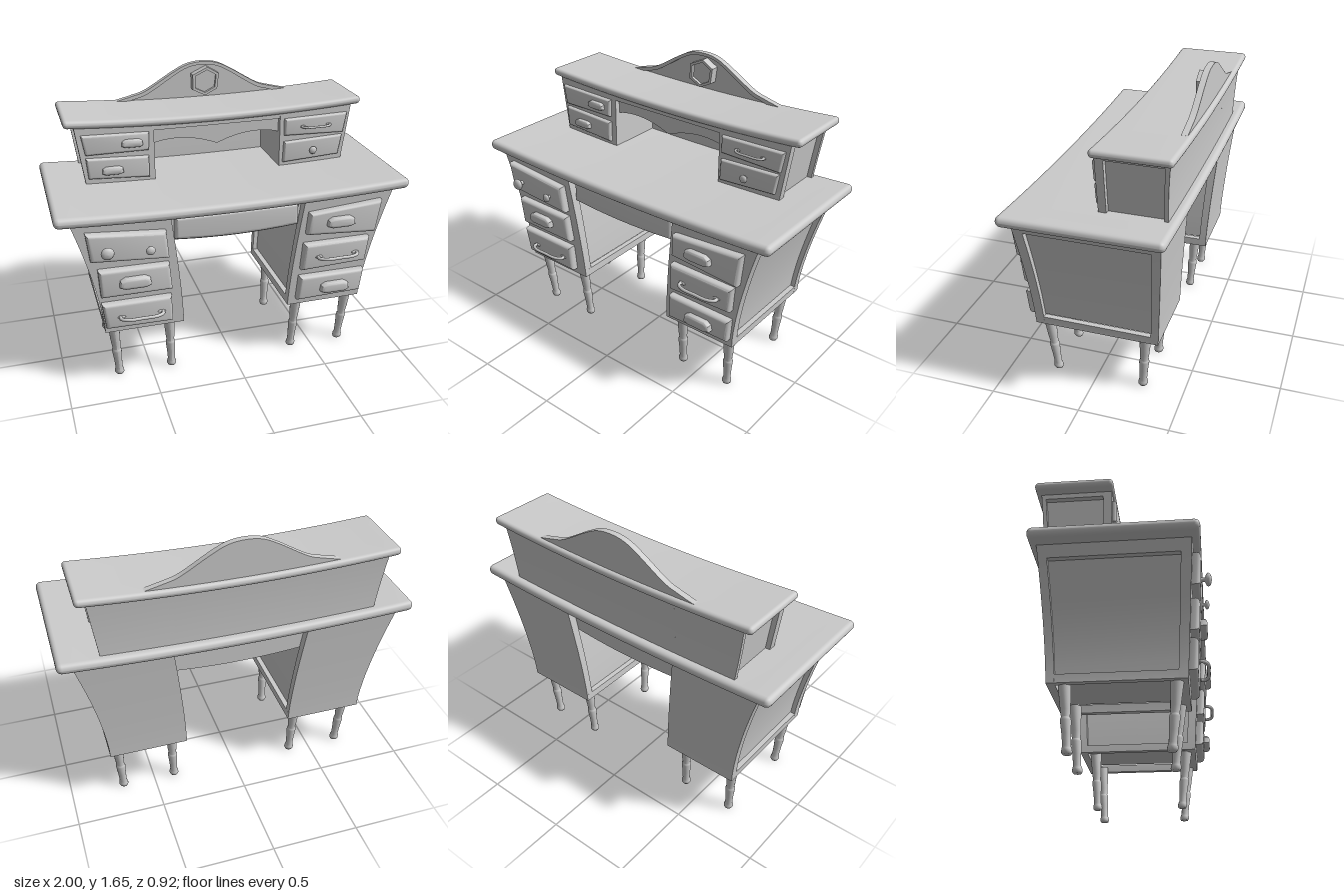
import * as THREE from 'three';
import { mergeVertices, toCreasedNormals } from 'three/addons/utils/BufferGeometryUtils.js';

const mat = new THREE.MeshStandardMaterial({ color: 0xcccccc });
const lerp = THREE.MathUtils.lerp;
const V = (x, y, z) => new THREE.Vector3(x, y, z);

export function createModel() {
  const desk = new THREE.Group();
  desk.name = 'desk';

  function add(name, geo, x = 0, y = 0, z = 0, parent = desk) {
    const m = new THREE.Mesh(geo, mat);
    m.name = name;
    m.position.set(x, y, z);
    parent.add(m);
    return m;
  }

  // move every vertex by a rule
  function bend(geo, rule) {
    const p = geo.attributes.position, v = V(0, 0, 0);
    for (let i = 0; i < p.count; i++) {
      v.fromBufferAttribute(p, i);
      rule(v);
      p.setXYZ(i, v.x, v.y, v.z);
    }
    geo.computeVertexNormals();
    return geo;
  }

  // round-edged slab whose middle sags along x
  function sagTop(w, h, d, sag) {
    const size = [w, h, d], seg = [30, 8, 10], r = h / 2 - 0.001;
    let geo = new THREE.BoxGeometry(w, h, d, ...seg);
    geo.deleteAttribute('normal');
    geo.deleteAttribute('uv');
    geo = mergeVertices(geo, 1e-5);
    return bend(geo, v => {
      const out = [], core = [];
      v.toArray().forEach((c, k) => {
        const n = seg[k], i = Math.round((c / size[k] + 0.5) * n), e = Math.min(i, n - i), half = size[k] / 2;
        // the outer three rows make the rounding
        const a = e < 3 ? half - r * e / 3 : (half - r) * (1 - (e - 3) / (n / 2 - 3));
        out[k] = Math.sign(i - n / 2) * a;
        core[k] = THREE.MathUtils.clamp(out[k], r - half, half - r);
      });
      const c = V(...core), dir = V(...out).sub(c);
      if (dir.length() > 1e-6) dir.setLength(r);
      v.copy(c).add(dir);
      v.y -= sag * (1 - (v.x / w * 2) ** 2);
    });
  }

  function polygon(pts) {
    return new THREE.Shape(pts.map(p => new THREE.Vector2(p[0], p[1])));
  }

  // bevelled plate whose front lies on z = 0
  function plate(shape, depth, bevel) {
    const geo = new THREE.ExtrudeGeometry(shape, {
      depth, bevelEnabled: bevel > 0, bevelSize: bevel, bevelOffset: -bevel,
      bevelThickness: bevel, bevelSegments: 4, curveSegments: 20
    });
    geo.translate(0, 0, -depth - bevel);
    return toCreasedNormals(geo, 0.6);
  }

  // flaring cabinet from slabs [u0,u1, y0,y1, w0,w1]; u: inner to outer, w: back to front
  function cabinet(name, s, slabs, inner, outer, back, front) {
    const g = new THREE.Group();
    g.name = name;
    for (const [u0, u1, y0, y1, w0, w1] of slabs) {
      const geo = new THREE.BoxGeometry(u1 - u0, y1 - y0, w1 - w0, 2, 12, 2);
      const mid = (u0 + u1) / 2;
      geo.translate(s > 0 ? mid : 1 - mid, (y0 + y1) / 2, (w0 + w1) / 2);
      add('panel', bend(geo, v => {
        const u = s > 0 ? v.x : 1 - v.x;
        v.set(s * lerp(inner(v.y), outer(v.y), u), v.y, lerp(back(v.y), front(v.y), v.z));
      }), 0, 0, 0, g);
    }
    desk.add(g);
  }

  // pedestals with framed, recessed sides and underside
  const t = y => Math.max(0, (y - 0.34) / 0.69);
  const lowFront = y => 0.325 + 0.042 * t(y);
  const pedestal = [
    [0, 1, 0.34, 1.04, 0.93, 1], [0, 1, 0.34, 1.04, 0, 0.06],
    [0, 1, 0.97, 1.04, 0, 1], [0.06, 0.94, 0.39, 1.03, 0.03, 0.97],
    [0, 0.07, 0.34, 0.385, 0, 1], [0.93, 1, 0.34, 0.385, 0, 1]
  ];
  // upper cabinets
  const k = y => (y - 1.08) / 0.34;
  const hutch = [
    [0, 1, 1.05, 1.43, 0.88, 1], [0, 1, 1.05, 1.43, 0, 0.06],
    [0, 1, 1.39, 1.43, 0, 1], [0, 0.93, 1.05, 1.42, 0.03, 0.97]
  ];
  const hutchBack = y => -0.415 - 0.017 * k(y) ** 2;
  for (const s of [-1, 1]) {
    cabinet('pedestal', s, pedestal, y => 0.315 + 0.07 * t(y) ** 1.4,
      y => 0.765 + 0.15 * t(y) ** 1.5, y => -0.37 - 0.05 * t(y) ** 1.3, lowFront);
    cabinet('upperCabinet', s, hutch, () => 0.375, y => 0.77 + 0.048 * k(y), hutchBack, () => -0.053);
  }
  add('upperBack', bend(new THREE.BoxGeometry(0.8, 0.36, 0.02, 4, 10, 1).translate(0, 1.23, 0),
    v => { v.z += hutchBack(v.y) + 0.01; }));

  // table tops
  add('deskTop', sagTop(2, 0.06, 0.87, 0.028), 0, 1.07, -0.025);
  add('upperTop', sagTop(1.75, 0.046, 0.42, 0.032), 0, 1.442, -0.25);

  // scalloped valance over the open bay
  const val = new THREE.Shape();
  val.moveTo(-0.38, 1.4);
  val.lineTo(-0.38, 1.28);
  val.quadraticCurveTo(-0.2, 1.33, 0, 1.245);
  val.quadraticCurveTo(0.2, 1.33, 0.38, 1.28);
  val.lineTo(0.38, 1.4);
  add('valance', plate(val, 0.02, 0), 0, 0, -0.085);
  add('upperRail', new THREE.BoxGeometry(0.76, 0.045, 0.03), 0, 1.39, -0.07);

  // centre drawer with a sagging lower edge
  const sagLow = v => { if (v.y < 0) v.y -= 0.018 * (1 - (v.x / 0.37) ** 2); };
  add('centreDrawerBox', bend(new THREE.BoxGeometry(0.76, 0.18, 0.67, 16, 1, 1), sagLow), 0, 0.95, -0.025);
  const edge = [[-0.355, 0.065], [-0.355, -0.065]];
  for (let i = 0; i <= 12; i++) {
    const x = -0.34 + 0.68 * i / 12;
    edge.push([x, -0.065 - 0.016 * (1 - (x / 0.355) ** 2)]);
  }
  edge.push([0.355, -0.065], [0.355, 0.065]);
  add('centreDrawer', plate(polygon(edge), 0.02, 0.02), 0, 0.935, 0.345);

  // handles
  function knob(x, y, z, r) {
    const prof = [[0.55, -0.4], [0.35, 0.1], [0.3, 0.5], [0.85, 0.75], [1, 1], [0.8, 1.3], [0.4, 1.45], [0, 1.5]];
    const geo = new THREE.LatheGeometry(prof.map(p => new THREE.Vector2(p[0] * r, p[1] * r)), 16);
    add('knob', geo.rotateX(Math.PI / 2), x, y, z);
  }
  function barPull(x, y, z, w) {
    const h = w / 2, d = 0.16 * w;
    const path = new THREE.CatmullRomCurve3([
      V(-h * 0.85, 0, -0.015), V(-h * 0.87, 0, d * 0.5), V(-h * 0.6, 0, d), V(0, 0, d * 1.05),
      V(h * 0.6, 0, d), V(h * 0.87, 0, d * 0.5), V(h * 0.85, 0, -0.015)]);
    add('barPull', new THREE.TubeGeometry(path, 40, 0.036 * w, 8), x, y, z);
    for (const s of [-1, 1]) {
      const foot = new THREE.SphereGeometry(0.05 * w, 12, 8).scale(1.7, 0.8, 0.5);
      add('pullFoot', foot, x + s * h * 0.83, y, z);
    }
  }
  function cupPull(x, y, z, w) {
    const a = w / 2, h = w * 0.19;
    const shape = polygon([[-a, -h * 0.6], [-a * 0.65, -h], [a * 0.65, -h], [a, -h * 0.6],
      [a * 0.94, h * 0.5], [a * 0.62, h], [-a * 0.62, h], [-a * 0.94, h * 0.5]]);
    add('cupPull', plate(shape, 0.02, w * 0.1), x, y, z + w * 0.2);
  }

  // drawers: four corners, then handles [maker, x, y, size]
  const lower = [
    [[[-0.845, 0.99], [-0.825, 0.82], [-0.4, 0.79], [-0.415, 0.955]], [knob, -0.74, 0.89, 0.036], [knob, -0.51, 0.87, 0.026]],
    [[[-0.79, 0.76], [-0.78, 0.59], [-0.385, 0.59], [-0.4, 0.755]], [cupPull, -0.595, 0.68, 0.175]],
    [[[-0.78, 0.545], [-0.76, 0.385], [-0.385, 0.38], [-0.39, 0.545]], [barPull, -0.565, 0.46, 0.27]],
    [[[0.405, 0.95], [0.395, 0.815], [0.815, 0.785], [0.84, 0.985]], [cupPull, 0.585, 0.89, 0.165]],
    [[[0.385, 0.755], [0.375, 0.585], [0.77, 0.6], [0.785, 0.755]], [barPull, 0.585, 0.67, 0.27]],
    [[[0.37, 0.54], [0.36, 0.385], [0.755, 0.395], [0.77, 0.54]], [cupPull, 0.58, 0.46, 0.175]]
  ];
  const upper = [
    [[[-0.785, 1.375], [-0.765, 1.26], [-0.41, 1.26], [-0.405, 1.365]], [cupPull, -0.505, 1.315, 0.12]],
    [[[-0.765, 1.24], [-0.755, 1.12], [-0.41, 1.1], [-0.41, 1.225]], [cupPull, -0.62, 1.165, 0.12]],
    [[[0.4, 1.365], [0.4, 1.265], [0.77, 1.255], [0.79, 1.375]], [barPull, 0.59, 1.315, 0.195]],
    [[[0.4, 1.225], [0.395, 1.1], [0.745, 1.12], [0.765, 1.24]], [knob, 0.57, 1.17, 0.024]]
  ];
  function drawers(name, list, face, bevel) {
    for (const [corners, ...pulls] of list) {
      const geo = plate(polygon(corners), 0.025, bevel);
      const p = geo.attributes.position;
      for (let i = 0; i < p.count; i++) p.setZ(i, p.getZ(i) + face(p.getY(i)));
      add(name, geo);
      for (const [make, x, y, size] of pulls) make(x, y, face(y), size);
    }
  }
  drawers('drawer', lower, y => lowFront(y) + 0.045, 0.022);
  drawers('upperDrawer', upper, () => -0.03, 0.014);

  // legs, splayed a little, with a turned lower part
  const legProfile = [[0, 0], [0.022, 0], [0.027, 0.01], [0.026, 0.025], [0.021, 0.04], [0.023, 0.1],
    [0.028, 0.165], [0.026, 0.178], [0.022, 0.183], [0.026, 0.22], [0.034, 0.36]];
  for (const s of [-1, 1]) {
    for (const [xTop, xLow] of [[0.712, 0.688], [0.39, 0.376]]) {
      for (const [zTop, zLow] of [[0.268, 0.237], [-0.285, -0.265]]) {
        const geo = new THREE.LatheGeometry(legProfile.map(p => new THREE.Vector2(...p)), 16);
        add('leg', bend(geo, v => {
          const f = v.y / 0.34;
          v.x += s * lerp(xLow, xTop, f);
          v.z += lerp(zLow, zTop, f);
        }));
      }
    }
  }

  // crest board with a raised rim
  const half = [[-0.525, 1.445], [-0.43, 1.468], [-0.34, 1.497], [-0.18, 1.592], [-0.09, 1.635], [0, 1.647]];
  const pts = [...half, ...half.slice(0, -1).reverse().map(([x, y]) => [-x, y])];
  const curve = new THREE.SplineCurve(pts.map(p => new THREE.Vector2(...p))).getPoints(48).map(p => [p.x, p.y]);
  const base = [[0.525, 1.425], [0, 1.395], [-0.525, 1.425]];
  add('crestBoard', plate(polygon([...curve, ...base]), 0.022, 0), 0, 0, -0.415);
  add('crestRim', plate(polygon([...curve, ...curve.map(([x, y]) => [x * 0.96, y - 0.018]).reverse()]), 0.015, 0), 0, 0, -0.402);

  // uneven six-sided medallion
  const hex = [[-0.067, 1.578], [-0.067, 1.488], [0.008, 1.45], [0.083, 1.487], [0.094, 1.578], [0.024, 1.62]];
  const ring = polygon(hex);
  ring.holes.push(polygon(hex.map(([x, y]) => [0.012 + (x - 0.012) * 0.8, 1.535 + (y - 1.535) * 0.8])));
  add('medallionRim', plate(ring, 0.05, 0), 0, 0, -0.367);
  add('medallionPlate', plate(polygon(hex.map(([x, y]) => [0.012 + (x - 0.012) * 0.9, 1.535 + (y - 1.535) * 0.9])), 0.03, 0), 0, 0, -0.385);

  return desk;
}
